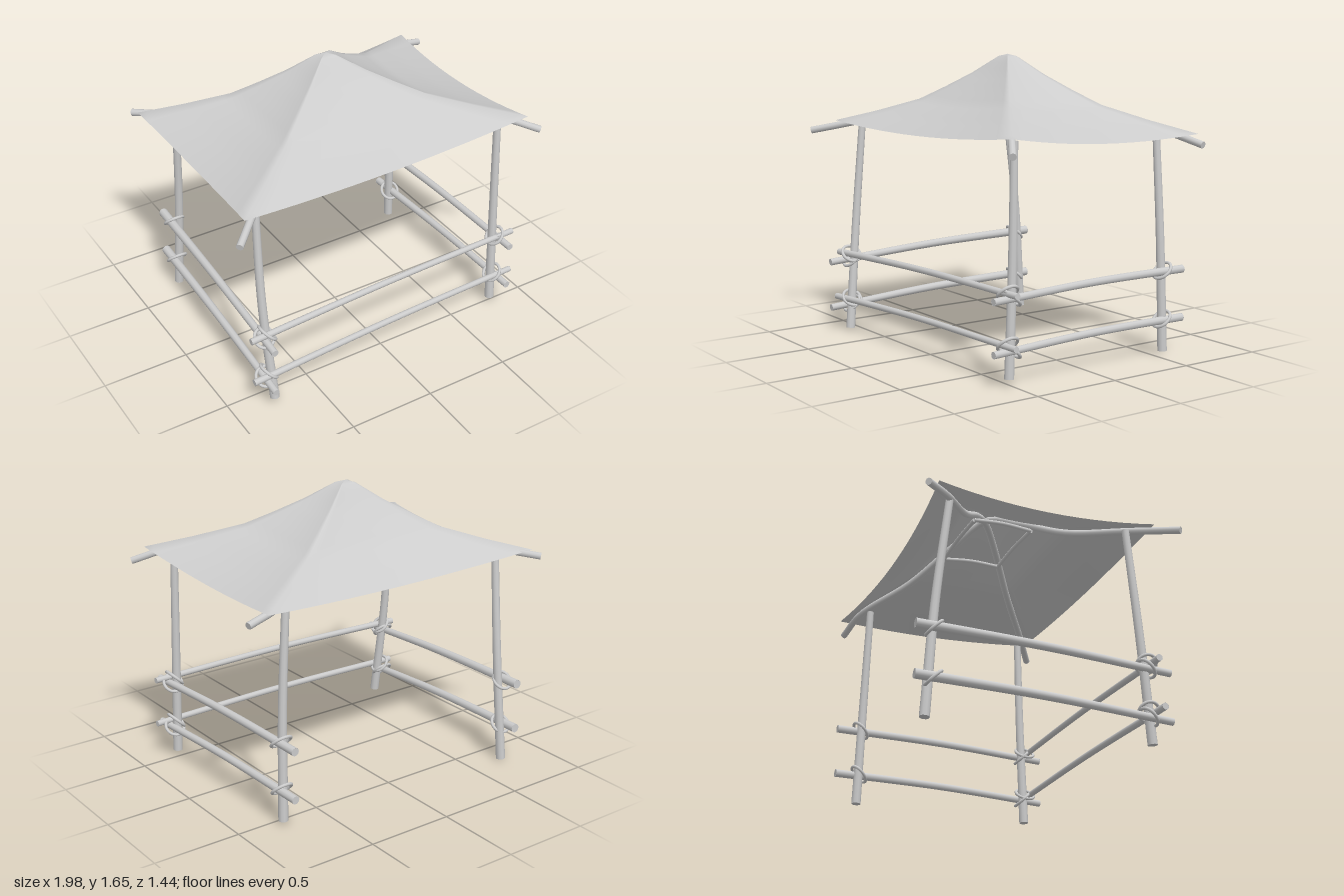
import * as THREE from 'three';
import { mergeGeometries } from 'three/addons/utils/BufferGeometryUtils.js';

const V = (x, y, z) => new THREE.Vector3(x, y, z);

// Canopy corners in order around the roof, and its peak
const PEAK = V(-0.03, 1.655, -0.05);
const CORNERS = [V(-0.89, 1.25, 0.59), V(0.89, 1.285, 0.58), V(0.89, 1.24, -0.66), V(-0.89, 1.245, -0.65)];
const PROFILE = [[0, 1], [0.04, 0.985], [0.2, 0.73], [0.35, 0.53], [0.5, 0.345], [0.75, 0.16], [1, 0]];

// Height share along a ridge, 0 at the peak and 1 at the corner
function drop(r) {
  let i = 1;
  while (i < PROFILE.length - 1 && r > PROFILE[i][0]) i++;
  const [a, b] = [PROFILE[i - 1], PROFILE[i]];
  return THREE.MathUtils.mapLinear(r, a[0], b[0], a[1], b[1]);
}

function ridgePoint(corner, r, lower = 0) {
  const p = PEAK.clone().lerp(corner, r);
  p.y = corner.y + (PEAK.y - corner.y) * drop(r) - lower;
  return p;
}

// Tapered, gently bent pole with closed ends
function poleGeometry(points, r0, r1, segments = 14, sides = 10) {
  const curve = new THREE.CatmullRomCurve3(points);
  const tube = new THREE.TubeGeometry(curve, segments, 1, sides, false);
  const pos = tube.attributes.position;
  const v = new THREE.Vector3();
  for (let i = 0; i < pos.count; i++) {
    const t = Math.floor(i / (sides + 1)) / segments;
    const c = curve.getPointAt(t);
    v.fromBufferAttribute(pos, i).sub(c).multiplyScalar(r0 + (r1 - r0) * t).add(c);
    pos.setXYZ(i, v.x, v.y, v.z);
  }
  const caps = [[0, r0, -1], [1, r1, 1]].map(([t, r, sign]) => {
    const dir = curve.getTangentAt(t).multiplyScalar(sign);
    const c = curve.getPointAt(t);
    const turn = new THREE.Quaternion().setFromUnitVectors(V(0, 0, 1), dir);
    return new THREE.CircleGeometry(r, sides).applyQuaternion(turn).translate(c.x, c.y, c.z);
  });
  return mergeGeometries([tube, ...caps]);
}

// Sagging cloth: rings of points from the peak out to the hem
function canopyGeometry() {
  const rows = 20, perSide = 14, around = perSide * 4;
  const inset = [0.01, 0.025, 0.045, 0.03];
  const inward = [V(0, 0, -1), V(-1, 0, 0), V(0, 0, 1), V(1, 0, 0)];
  const pts = [PEAK.x, PEAK.y, PEAK.z], index = [];
  for (let j = 1; j <= rows; j++) {
    const r = j / rows;
    for (let i = 0; i < around; i++) {
      const side = Math.floor(i / perSide), s = (i % perSide) / perSide;
      const bow = 4 * s * (1 - s) * r;
      const p = ridgePoint(CORNERS[side], r).lerp(ridgePoint(CORNERS[(side + 1) % 4], r), s);
      p.addScaledVector(inward[side], inset[side] * bow * r);
      p.y -= 0.04 * bow;
      pts.push(p.x, p.y, p.z);
      const n = (i + 1) % around;
      const a = 1 + (j - 1) * around;
      if (j === 1) index.push(0, a + i, a + n);
      else index.push(a - around + i, a + i, a + n, a - around + i, a + n, a - around + n);
    }
  }
  const g = new THREE.BufferGeometry();
  g.setAttribute('position', new THREE.Float32BufferAttribute(pts, 3));
  g.setIndex(index);
  g.computeVertexNormals();
  return g;
}

export function createModel() {
  const group = new THREE.Group();
  const grey = new THREE.MeshStandardMaterial({ color: 0xcccccc, side: THREE.DoubleSide });
  grey.name = 'plain grey';
  const add = (name, geometry) => {
    const mesh = new THREE.Mesh(geometry, grey);
    mesh.name = name;
    group.add(mesh);
    return mesh;
  };

  add('canopy', canopyGeometry());

  // Four leaning posts
  const posts = {
    frontRightPost: [V(-0.75, 0.02, 0.587), V(-0.777, 0.65, 0.525), V(-0.77, 1.25, 0.475)],
    frontLeftPost: [V(0.77, 0.04, 0.512), V(0.768, 0.65, 0.49), V(0.762, 1.26, 0.475)],
    backLeftPost: [V(0.75, 0.025, -0.55), V(0.735, 0.65, -0.535), V(0.7, 1.24, -0.525)],
    backRightPost: [V(-0.722, 0.003, -0.645), V(-0.705, 0.65, -0.595), V(-0.718, 1.25, -0.53)],
  };
  for (const [name, p] of Object.entries(posts)) add(name, poleGeometry(p, 0.027, 0.021));

  // Two bent roof poles, crossing under the peak
  const ends = [V(-0.98, 1.19, 0.7), V(0.95, 1.205, 0.62), V(0.98, 1.19, -0.61), V(-0.9, 1.22, -0.71)];
  for (const k of [0, 1]) {
    const arm = (i) => [ends[i], ...[0.85, 0.5, 0.22].map((r) => ridgePoint(CORNERS[i], r, 0.036))];
    const top = PEAK.clone().add(V(0, -0.06 - 0.03 * k, 0));
    add('roofPole', poleGeometry([...arm(k), top, ...arm(k + 2).reverse()], 0.02, 0.02, 40));
  }

  // Short braces tying the roof poles together
  CORNERS.forEach((c, i) => {
    const a = ridgePoint(c, 0.28, 0.065), b = ridgePoint(CORNERS[(i + 1) % 4], 0.28, 0.065);
    const mid = a.clone().lerp(b, 0.5).add(V(0, 0.012, 0));
    add('roofBrace', poleGeometry([a, mid, b], 0.012, 0.012, 8, 8));
  });

  // Upper and lower rails on the front and both sides, the back stays open
  const rails = [
    ['frontRail', V(-0.88, 0.46, 0.583), V(0.88, 0.492, 0.538), 0.019, 0.017],
    ['frontRail', V(-0.88, 0.19, 0.603), V(0.88, 0.22, 0.545), 0.019, 0.017],
    ['rightRail', V(-0.795, 0.42, 0.69), V(-0.76, 0.482, -0.715), 0.02, 0.026],
    ['rightRail', V(-0.795, 0.146, 0.69), V(-0.76, 0.208, -0.715), 0.02, 0.026],
    ['leftRail', V(0.8, 0.46, 0.63), V(0.758, 0.475, -0.68), 0.02, 0.023],
    ['leftRail', V(0.8, 0.187, 0.63), V(0.758, 0.2, -0.68), 0.02, 0.023],
  ];
  for (const [name, a, b, r0, r1] of rails) {
    const mid = a.clone().lerp(b, 0.5).add(V(0, 0.013, 0));
    add(name, poleGeometry([a, mid, b], r0, r1));
  }

  // Rope loops lashing rails to posts, slanted across each joint
  const lash = (x, y, z, nx, nz) => {
    const loop = add('lashing', new THREE.TorusGeometry(0.056, 0.009, 8, 24));
    loop.position.set(x, y, z);
    loop.quaternion.setFromUnitVectors(V(0, 0, 1), V(nx, 1, nz).normalize());
  };
  for (const [yFront, ySide] of [[0.463, 0.43], [0.195, 0.157]]) {
    lash(-0.77, yFront, 0.563, 1, 0);
    lash(-0.785, ySide, 0.555, 0, 1);
    lash(0.768, yFront + 0.028, 0.52, -1, 0);
    lash(0.785, ySide + 0.035, 0.51, 0, -1);
    lash(0.75, ySide + 0.05, -0.54, 0, 1);
    lash(-0.74, ySide + 0.05, -0.61, 0, -1);
  }
  return group;
}
